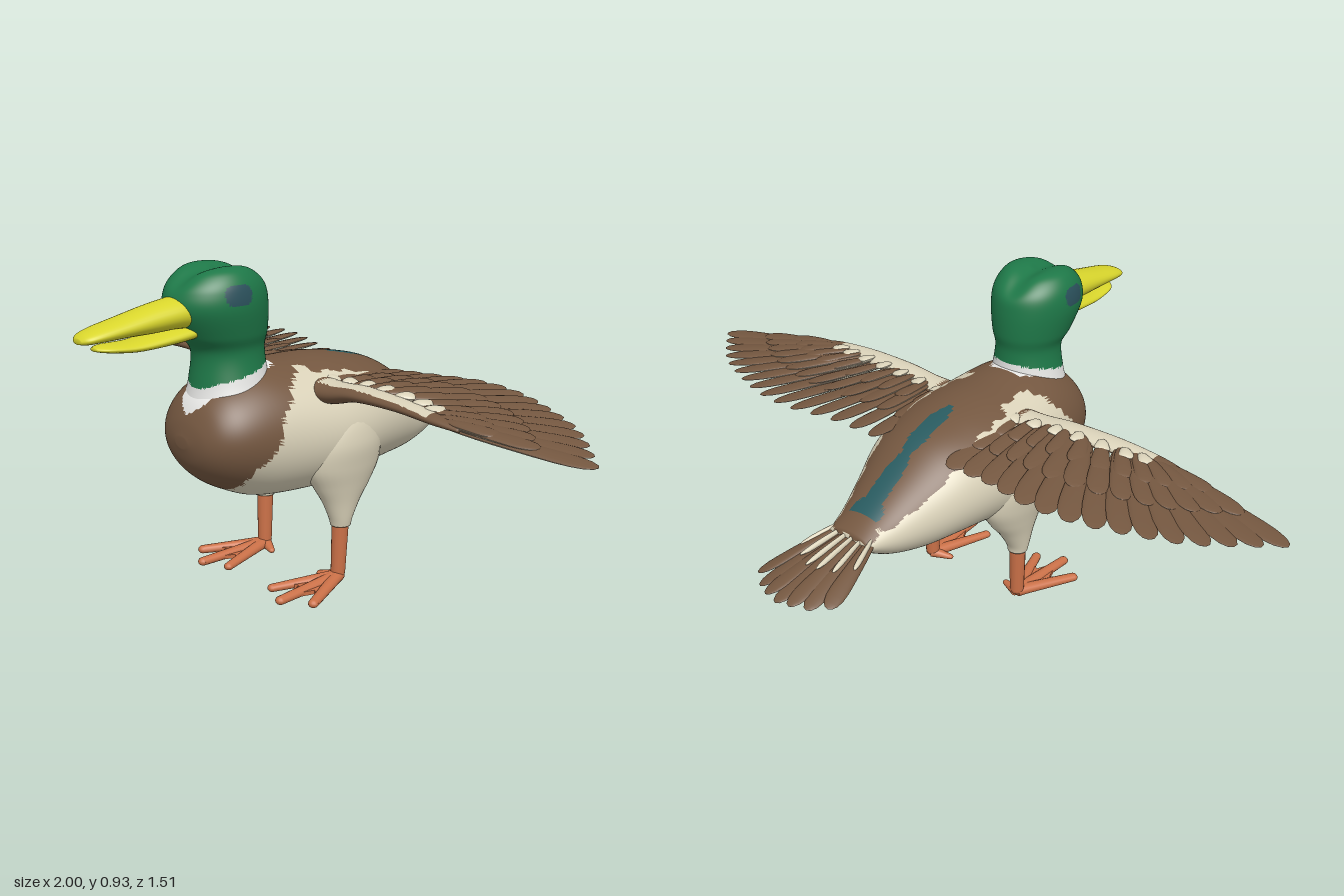
import * as THREE from 'three';
import { mergeGeometries } from 'three/addons/utils/BufferGeometryUtils.js';

const V = (x, y, z) => new THREE.Vector3(x, y, z);
const mat = (name, color) => {
  const m = new THREE.MeshStandardMaterial({ color });
  m.name = name;
  return m;
};

// Smooth curve through one column of a station table
function spline(rows, i, t, c) {
  const at = k => rows[Math.min(rows.length - 1, Math.max(0, k))][c];
  const [a, b, d, e] = [at(i - 1), at(i), at(i + 1), at(i + 2)];
  return b + 0.5 * t * (d - a + t * (2 * a - 5 * b + 4 * d - e + t * (3 * (b - d) + e - a)));
}

// Straight-line lookup in a list of [input, output] pairs, inputs ascending
function lookup(pairs, v) {
  for (let i = 1; i < pairs.length; i++) {
    const [a, b] = [pairs[i - 1], pairs[i]];
    if (v <= b[0]) return a[1] + (b[1] - a[1]) * Math.max(0, (v - a[0]) / (b[0] - a[0]));
  }
  return pairs[pairs.length - 1][1];
}

// Skin of elliptical sections along an axis. Rows are [position, centre u, centre v, radius u, radius v],
// ascending, with (u, v) = (x,y) along z, (z,x) along y, (y,z) along x. pick(p) chooses a material index.
function loft(rows, axis, { sides = 32, sub = 5, side = 1, pick = () => 0, shape = null } = {}) {
  const place = { x: (p, u, v) => V(p, u, v), y: (p, u, v) => V(v, p, u), z: (p, u, v) => V(u, v, p) }[axis];
  const pts = [], steps = (rows.length - 1) * sub;
  for (let k = 0; k <= steps; k++) {
    const i = Math.min(rows.length - 2, Math.floor(k / sub)), t = k / sub - i;
    const [p, cu, cv, ru, rv] = [0, 1, 2, 3, 4].map(c => spline(rows, i, t, c));
    for (let j = 0; j < sides; j++) {
      const a = (j / sides) * Math.PI * 2;
      pts.push(place(p, cu + ru * Math.cos(a), cv + rv * Math.sin(a)));
    }
  }
  for (const r of [rows[0], rows[rows.length - 1]]) pts.push(place(r[0], r[1], r[2]));
  if (shape) pts.forEach(shape);
  const lists = [];
  const tri = (a, b, c) => {
    const m = pick(pts[a].clone().add(pts[b]).add(pts[c]).divideScalar(3));
    (lists[m] ??= []).push(...(side > 0 ? [a, b, c] : [a, c, b]));
  };
  const end = steps * sides, low = pts.length - 2, high = pts.length - 1;
  for (let j = 0; j < sides; j++) {
    const n = (j + 1) % sides;
    for (let k = 0; k < end; k += sides) {
      tri(k + j, k + n, k + sides + n);
      tri(k + j, k + sides + n, k + sides + j);
    }
    tri(low, n, j);
    tri(high, end + j, end + n);
  }
  const g = new THREE.BufferGeometry();
  g.setAttribute('position', new THREE.Float32BufferAttribute(pts.flatMap(p => [p.x * side, p.y, p.z]), 3));
  const index = [];
  lists.forEach((l, m) => {
    g.addGroup(index.length, l.length, m);
    for (const v of l) index.push(v);
  });
  g.setIndex(index);
  g.computeVertexNormals();
  return g;
}

// Upper or lower half of a thin feather from a to b, broadest near its rounded tip
function featherHalf(a, b, width, roll, under) {
  const g = new THREE.SphereGeometry(1, 8, 12, under ? Math.PI : 0, Math.PI);
  const p = g.attributes.position;
  for (let i = 0; i < p.count; i++) {
    const y = p.getY(i), s = Math.sqrt(Math.max(1e-6, 1 - y * y));
    p.setX(i, (p.getX(i) / s) * Math.sqrt(Math.max(0, 1 - y ** 4)) * (0.78 + 0.32 * y));
  }
  const dir = b.clone().sub(a), len = dir.length();
  dir.normalize();
  const across = dir.clone().cross(V(roll, 1, 0)).normalize();
  const up = across.clone().cross(dir);
  g.scale(width, len / 2, 0.009);
  g.applyMatrix4(new THREE.Matrix4().makeBasis(across, dir, up).setPosition(a.clone().add(b).multiplyScalar(0.5)));
  g.computeVertexNormals();
  return g;
}

// Tapered round bar between two points, with a rounded far end
function bar(a, b, r1, r2) {
  const dir = b.clone().sub(a), len = dir.length();
  const g = new THREE.CylinderGeometry(r2, r1, len, 14).translate(0, len / 2, 0);
  g.applyQuaternion(new THREE.Quaternion().setFromUnitVectors(V(0, 1, 0), dir.normalize()));
  g.translate(a.x, a.y, a.z);
  return mergeGeometries([g, new THREE.SphereGeometry(r2, 14, 8).translate(b.x, b.y, b.z)]);
}

export function createModel() {
  const duck = new THREE.Group();
  duck.name = 'duck';
  const cream = mat('cream plumage', 0xdad2b9), brown = mat('brown plumage', 0x745740);
  const green = mat('green head', 0x1e7848), white = mat('white collar', 0xe8e8e6);
  const teal = mat('teal back stripe', 0x285a5f), eye = mat('dark eye', 0x2b515c);
  const yellow = mat('yellow bill', 0xd8d52c), orange = mat('orange feet', 0xcb7148);
  const add = (name, geometry, material, parent = duck) => {
    const m = new THREE.Mesh(geometry, material);
    m.name = name;
    parent.add(m);
  };
  const feathers = (name, list, top, parent) => {
    add(name + 'Tops', mergeGeometries(list.map(f => featherHalf(...f, false))), top, parent);
    add(name + 'Undersides', mergeGeometries(list.map(f => featherHalf(...f, true))), cream, parent);
  };

  // White collar slopes down towards a point on the breast
  const collarTop = p => 0.668 - 0.24 * (p.z - 0.2) - Math.max(0, p.z - 0.38) * 0.4;
  const ragged = p => 0.004 * Math.sin(p.z * 90) + 0.004 * Math.sin(p.x * 130 + p.y * 70);

  // Body: [z, top, bottom, half width]
  const bodyRows = [
    [-0.49, 0.43, 0.385, 0.07], [-0.4, 0.475, 0.33, 0.105], [-0.3, 0.535, 0.3, 0.145], [-0.2, 0.595, 0.292, 0.185],
    [-0.1, 0.625, 0.285, 0.212], [0, 0.64, 0.265, 0.226], [0.1, 0.645, 0.262, 0.222], [0.25, 0.652, 0.275, 0.2],
    [0.35, 0.625, 0.315, 0.175], [0.41, 0.585, 0.355, 0.14], [0.445, 0.53, 0.4, 0.09], [0.46, 0.48, 0.45, 0.025],
  ].map(([z, t, b, w]) => [z, 0, (t + b) / 2, w, (t - b) / 2]);
  const breastEdge = [[0.32, 0.35], [0.4, 0.335], [0.44, 0.295], [0.55, 0.24], [0.62, 0.17], [0.64, 0.13]];
  const backEdge = [[-0.49, 0.42], [-0.4, 0.445], [-0.3, 0.485], [-0.2, 0.55], [-0.1, 0.59], [0, 0.612], [0.14, 0.63]];
  const stripeWidth = [[-0.43, 0.05], [-0.4, 0.05], [-0.385, 0.03], [-0.3, 0.03], [-0.25, 0.016], [-0.21, 0.028], [-0.11, 0.026], [-0.06, 0.01]];
  const bodyColour = p => {
    const r = ragged(p);
    const reach = 0.12 + 0.04 * THREE.MathUtils.smoothstep(p.z, 0.37, 0.41);
    if (Math.hypot(p.x, p.z - 0.3) < reach && p.y > collarTop(p) - 0.048 + 0.35 * Math.abs(p.x)) return 2;
    if (p.y > 0.44 && p.z > -0.43 && p.z < -0.06 && Math.abs(p.x) < lookup(stripeWidth, p.z)) return 3;
    return p.z + r > lookup(breastEdge, p.y) || p.y + r > lookup(backEdge, p.z) ? 1 : 0;
  };
  add('body', loft(bodyRows, 'z', { sides: 144, sub: 7, pick: bodyColour }), [cream, brown, white, teal]);

  // Neck and head with a shallow groove on the crown and an eye patch on each side
  const headRows = [
    [0.56, 0.295, 0, 0.125, 0.125], [0.62, 0.298, 0, 0.109, 0.106], [0.7, 0.3, 0, 0.103, 0.094], [0.75, 0.315, 0, 0.126, 0.11],
    [0.82, 0.335, 0, 0.146, 0.125], [0.87, 0.337, 0, 0.138, 0.122], [0.905, 0.337, 0, 0.108, 0.106],
    [0.925, 0.337, 0, 0.07, 0.08], [0.932, 0.337, 0, 0.02, 0.03],
  ];
  const headColour = p => {
    if (Math.abs(p.x) > 0.06 && Math.abs((p.z - 0.35) / 0.04) ** 3 + Math.abs((p.y - 0.863) / 0.027) ** 3 < 1) return 2;
    return p.y > collarTop(p) ? 0 : p.y > collarTop(p) - 0.048 ? 1 : 3;
  };
  const groove = p => {
    p.y -= 0.018 * Math.exp(-((p.x / 0.035) ** 2)) * THREE.MathUtils.smoothstep(p.y, 0.84, 0.92);
  };
  add('head', loft(headRows, 'y', { sides: 120, sub: 10, pick: headColour, shape: groove }), [green, white, eye, brown]);

  // Bill
  add('upperBill', loft([
    [0.43, 0, 0.817, 0.062, 0.046], [0.48, 0, 0.817, 0.061, 0.041], [0.55, 0, 0.811, 0.057, 0.036],
    [0.63, 0, 0.803, 0.053, 0.027], [0.7, 0, 0.795, 0.048, 0.02], [0.74, 0, 0.789, 0.038, 0.014], [0.757, 0, 0.785, 0.018, 0.007],
  ], 'z'), yellow);
  add('lowerBill', loft([
    [0.43, 0, 0.765, 0.052, 0.022], [0.5, 0, 0.758, 0.053, 0.02], [0.6, 0, 0.751, 0.047, 0.015],
    [0.68, 0, 0.756, 0.037, 0.01], [0.712, 0, 0.758, 0.014, 0.005],
  ], 'z'), yellow);

  // Tail fan with slim pale feathers over its base
  const fan = (n, spread, z, y, w, lift) => Array.from({ length: n }, (_, i) => {
    const k = (2 * i) / (n - 1) - 1;
    return [V(k * 0.05, 0.425 + lift, -0.43), V(k * spread, y - 0.004 * (i % 2), z + 0.06 * k * k), w, k * 0.25];
  });
  feathers('tailFeather', fan(7, 0.125, -0.757, 0.362, 0.028, -0.005), brown, duck);
  feathers('tailCovert', fan(6, 0.098, -0.63, 0.399, 0.008, 0), cream, duck);

  for (const s of [1, -1]) {
    const label = s > 0 ? 'left' : 'right';

    // Wing arm, pale on top
    const wing = new THREE.Group();
    wing.name = label + 'Wing';
    duck.add(wing);
    const armRows = [
      [0.1, 0.57, 0.08, 0.035, 0.06], [0.2, 0.575, 0.085, 0.03, 0.05], [0.3, 0.592, 0.088, 0.021, 0.043],
      [0.45, 0.596, 0.095, 0.016, 0.034], [0.58, 0.588, 0.1, 0.013, 0.024], [0.66, 0.58, 0.1, 0.006, 0.012],
    ];
    const armColour = p => (p.x > 0.15 && p.x < 0.57 && p.y + ragged(p) * 0.5 > 0.592 && p.z < 0.106 + p.x * 0.03 ? 1 : 0);
    add('wingArm', loft(armRows, 'x', { sides: 40, sub: 8, side: s, pick: armColour }), [brown, cream], wing);

    // Flight feathers, two shorter covert rows and pale downy tips behind the arm
    const roots = new THREE.CatmullRomCurve3([V(0.14, 0.58, 0.07), V(0.32, 0.592, 0.075), V(0.5, 0.588, 0.085), V(0.6, 0.578, 0.1)]);
    const tips = new THREE.CatmullRomCurve3([
      V(0.14, 0.565, -0.24), V(0.28, 0.575, -0.255), V(0.42, 0.58, -0.285), V(0.55, 0.578, -0.275),
      V(0.69, 0.572, -0.225), V(0.82, 0.565, -0.16), V(0.92, 0.558, -0.075), V(1.0, 0.55, 0.005)]);
    const row = (n, reach, width, lift, last = 1) => Array.from({ length: n }, (_, i) => {
      const t = (last * i) / (n - 1), a = roots.getPoint(t), b = tips.getPointAt(t);
      b.lerpVectors(a, b, reach);
      for (const p of [a, b]) p.set(p.x * s, p.y + lift, p.z);
      return [a, b, width, s * 0.2];
    });
    feathers('flightFeather', row(15, 1, 0.038, 0), brown, wing);
    feathers('longCovert', row(13, 0.64, 0.034, 0.009), brown, wing);
    feathers('shortCovert', row(11, 0.38, 0.03, 0.014), brown, wing);
    feathers('downyCovert', row(7, 0.14, 0.024, 0.018, 0.75), cream, wing);

    // Leg: feathered thigh, shank, three flat toes, a small inner toe and webbing
    const leg = new THREE.Group();
    leg.name = label + 'Leg';
    duck.add(leg);
    add('thigh', loft([
      [0.175, 0.04, 0.168, 0.029, 0.029], [0.2, 0.04, 0.168, 0.036, 0.034], [0.25, 0.035, 0.164, 0.062, 0.046],
      [0.3, 0.03, 0.16, 0.097, 0.06], [0.36, 0.03, 0.157, 0.13, 0.075], [0.43, 0.03, 0.153, 0.13, 0.085],
      [0.5, 0.03, 0.135, 0.1, 0.08], [0.55, 0.03, 0.12, 0.04, 0.03],
    ], 'y', { side: s, sub: 6 }), cream, leg);
    add('shank', bar(V(0.168 * s, 0.2, 0.04), V(0.165 * s, 0.03, 0.046), 0.025, 0.021), orange, leg);
    const toe = (x, z, r) => bar(V(0.165 * s, 0.03, 0.045), V(x * s, 0.022, z), 0.02, r).scale(1, 0.8, 1).translate(0, -0.004, 0);
    add('toes', mergeGeometries([toe(0.1, 0.235, 0.014), toe(0.178, 0.27, 0.015), toe(0.252, 0.215, 0.015), toe(0.11, 0.065, 0.01)]), orange, leg);
    const web = new THREE.Shape([[0.15, 0.04], [0.108, 0.2], [0.145, 0.175], [0.176, 0.24], [0.2, 0.165], [0.238, 0.19], [0.18, 0.04]]
      .map(([x, z]) => new THREE.Vector2(x * s, z)));
    const webbing = new THREE.ExtrudeGeometry(web, { depth: 0.012, bevelEnabled: false }).rotateX(Math.PI / 2).translate(0, 0.02, 0);
    add('webbing', webbing, orange, leg);
  }
  return duck;
}
